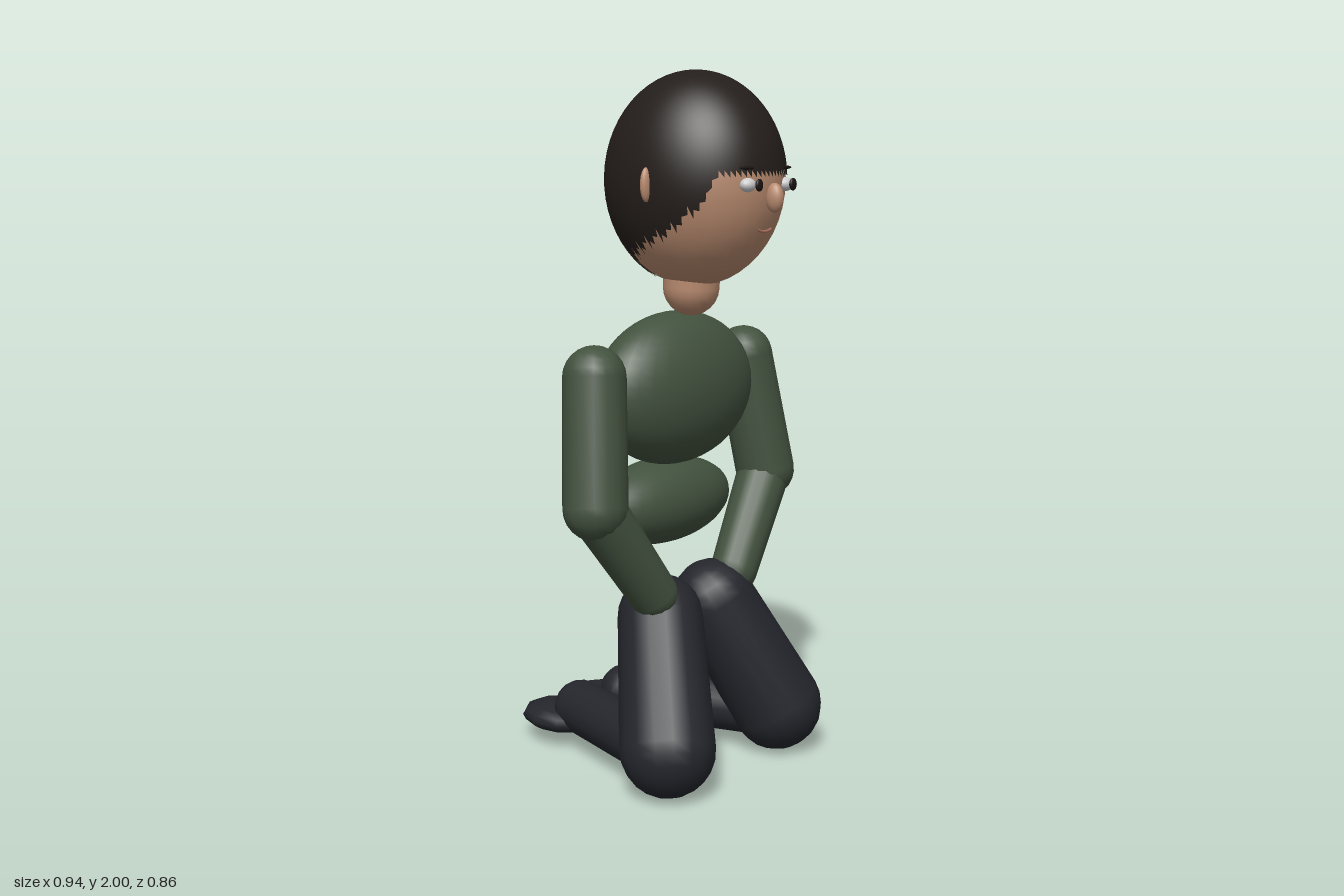
import * as THREE from 'three';

const mat = (color, extra = {}) => new THREE.MeshStandardMaterial({ color, ...extra });
const V = (x, y, z) => new THREE.Vector3(x, y, z);

export function createModel() {
  const root = new THREE.Group();
  const skin = mat(0xb98b6f), cloth = mat(0x43523f), trousers = mat(0x24262c);
  const hairMat = mat(0x241e1b, { side: THREE.DoubleSide });
  const dark = mat(0x1a1412), white = mat(0xf0f0f0), lip = mat(0xa8705c);

  function add(name, geometry, material) {
    const mesh = new THREE.Mesh(geometry, material);
    mesh.name = name;
    root.add(mesh);
    return mesh;
  }

  function ellipsoid(name, center, radii, material, w = 32, h = 24) {
    const mesh = add(name, new THREE.SphereGeometry(1, w, h), material);
    mesh.position.set(...center);
    mesh.scale.set(...radii);
    return mesh;
  }

  // Round-ended limb from a to b, with a radius at each end
  function limb(name, a, b, ra, rb, material, sides = 16) {
    const length = a.distanceTo(b), profile = [], n = 6;
    for (let i = 0; i <= n; i++) {
      const t = (i / n) * Math.PI / 2;
      profile.push(new THREE.Vector2(Math.sin(t) * ra, -Math.cos(t) * ra));
    }
    for (let i = 0; i <= n; i++) {
      const t = (i / n) * Math.PI / 2;
      profile.push(new THREE.Vector2(Math.cos(t) * rb, length + Math.sin(t) * rb));
    }
    const mesh = add(name, new THREE.LatheGeometry(profile, sides), material);
    mesh.position.copy(a);
    mesh.quaternion.setFromUnitVectors(V(0, 1, 0), b.clone().sub(a).normalize());
    return mesh;
  }

  // Head, neck and torso
  ellipsoid('head', [0, 1.7, 0.127], [0.226, 0.295, 0.266], skin);
  limb('neck', V(0, 1.4, 0.115), V(0, 1.5, 0.12), 0.08, 0.08, skin, 20);
  ellipsoid('chest', [0, 1.11, 0.055], [0.305, 0.22, 0.15], cloth);
  ellipsoid('belly', [0, 0.775, 0.008], [0.275, 0.125, 0.125], cloth);

  // Hair: a cap whose lower edge follows the hairline, [angle from front, height]
  const hairline = [[0, 1.71], [44, 1.71], [47, 1.63], [57, 1.6], [72, 1.545],
    [90, 1.515], [115, 1.475], [141, 1.43], [180, 1.412]];
  const edgeHeight = (deg) => {
    let i = 1;
    while (i < hairline.length - 1 && deg > hairline[i][0]) i++;
    const [a0, y0] = hairline[i - 1], [a1, y1] = hairline[i];
    return THREE.MathUtils.mapLinear(deg, a0, a1, y0, y1);
  };
  const R = V(0.23, 0.3, 0.27), columns = 96;
  const hair = new THREE.SphereGeometry(1, columns, 24);
  const pos = hair.attributes.position, nor = hair.attributes.normal, uv = hair.attributes.uv;
  const stride = columns + 1;
  for (let i = 0; i < pos.count; i++) {
    const column = i % stride, row = Math.floor(i / stride) / 24;
    const angle = (column / columns - 0.5) * Math.PI * 2;
    const deg = Math.abs(THREE.MathUtils.radToDeg(angle));
    const jag = deg > 46 && deg < 150 ? [0, 0.022, 0.008][Math.abs(column - columns / 2) % 3] : 0;
    const theta = row * Math.acos((edgeHeight(deg) + jag - 1.7) / R.y);
    const d = V(Math.sin(angle) * Math.sin(theta), Math.cos(theta), Math.cos(angle) * Math.sin(theta));
    const p = d.clone().multiply(R), m = d.clone().divide(R).normalize();
    pos.setXYZ(i, p.x, p.y, p.z);
    nor.setXYZ(i, m.x, m.y, m.z);
  }
  add('hair', hair, hairMat).position.set(0, 1.7, 0.127);

  // Nose and mouth
  ellipsoid('nose', [0, 1.655, 0.403], [0.021, 0.04, 0.027], skin, 16, 12);
  const smile = new THREE.QuadraticBezierCurve3(V(-0.03, 1.57, 0.369), V(0, 1.558, 0.37), V(0.03, 1.57, 0.369));
  add('mouth', new THREE.TubeGeometry(smile, 10, 0.004, 6), lip);

  for (const s of [1, -1]) {
    const side = s > 0 ? 'left' : 'right';

    // Face details
    ellipsoid(side + 'Eye', [s * 0.085, 1.69, 0.377], [0.025, 0.019, 0.02], white, 16, 12);
    ellipsoid(side + 'Pupil', [s * 0.076, 1.69, 0.408], [0.015, 0.017, 0.007], dark, 16, 12);
    const brow = ellipsoid(side + 'Eyebrow', [s * 0.085, 1.735, 0.375], [0.03, 0.005, 0.009], dark, 12, 8);
    brow.rotation.y = s * 0.1;
    ellipsoid(side + 'Ear', [s * 0.226, 1.69, 0.143], [0.021, 0.047, 0.014], skin, 16, 12);

    // Arm, with the forearm resting on the thigh
    const elbow = V(s * 0.383, 0.823, 0.095);
    limb(side + 'UpperArm', V(s * 0.333, 1.172, 0.048), elbow, 0.088, 0.09, cloth);
    limb(side + 'Forearm', elbow, V(s * 0.185, 0.55, 0.132), 0.08, 0.07, cloth);

    // Kneeling leg
    limb(side + 'Thigh', V(s * 0.122, 0.465, 0.105), V(s * 0.253, 0.14, 0.242), 0.123, 0.136, trousers);
    limb(side + 'Shin', V(s * 0.25, 0.12, 0.24), V(s * 0.103, 0.12, -0.225), 0.08, 0.08, trousers);
    ellipsoid(side + 'Foot', [s * 0.107, 0.08, -0.302], [0.109, 0.043, 0.134], trousers, 10, 8)
      .rotation.y = s * 0.12;
  }

  return root;
}
